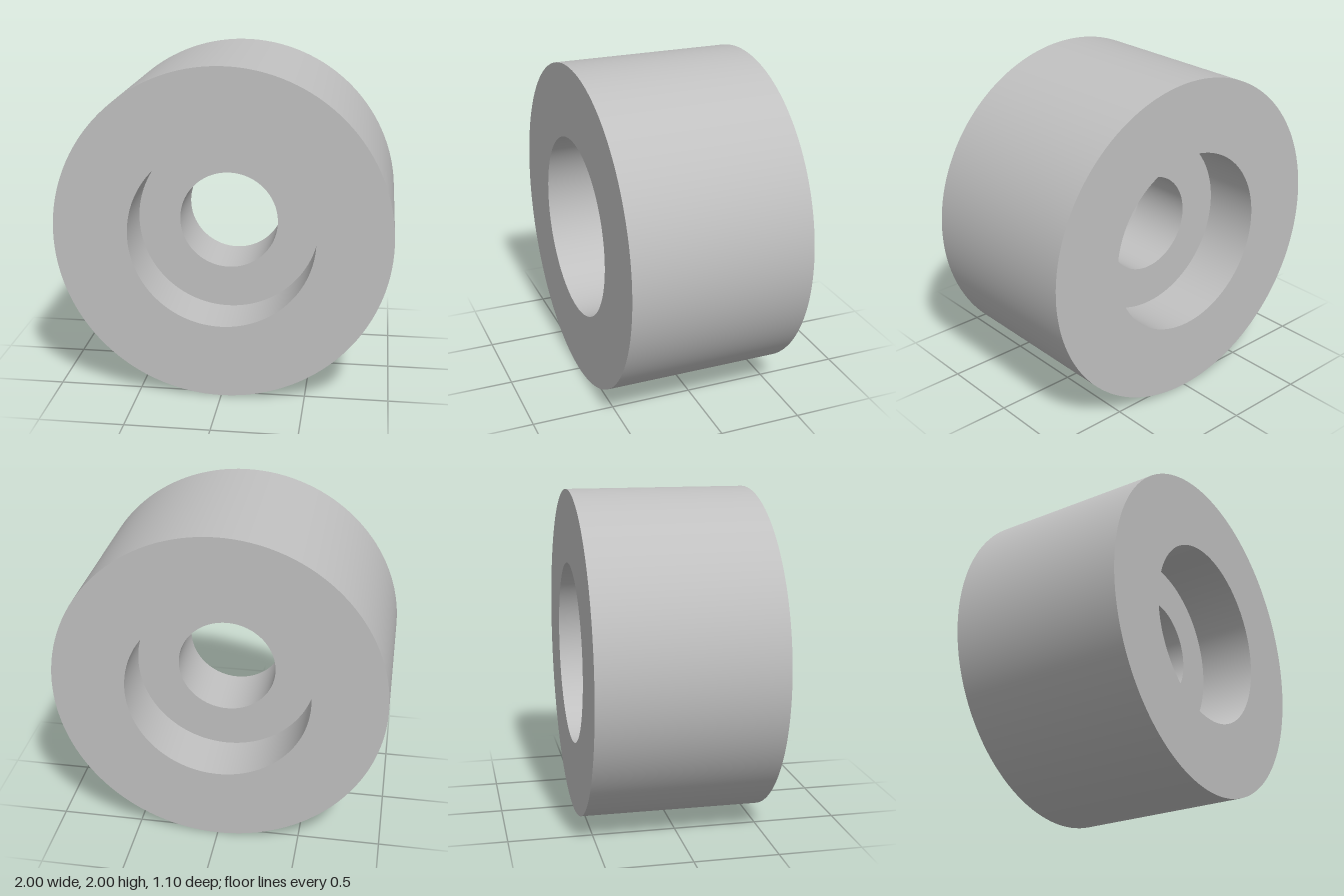
import * as THREE from 'three';
import { toCreasedNormals } from 'three/addons/utils/BufferGeometryUtils.js';

const OUTER_RADIUS = 1;
const RECESS_RADIUS = 0.555;
const BORE_RADIUS = 0.3;
const HALF_WIDTH = 0.55;
const HALF_WEB = 0.2; // half thickness of the web left between the two recesses

export function createModel() {
  const model = new THREE.Group();
  model.name = 'roller';

  const greyMetal = new THREE.MeshStandardMaterial({ color: 0xc0c0c0 });
  greyMetal.name = 'grey metal';

  // Closed section: outer wall, front face, front recess, bore, rear recess, rear face
  const section = [
    [OUTER_RADIUS, -HALF_WIDTH],
    [OUTER_RADIUS, HALF_WIDTH],
    [RECESS_RADIUS, HALF_WIDTH],
    [RECESS_RADIUS, HALF_WEB],
    [BORE_RADIUS, HALF_WEB],
    [BORE_RADIUS, -HALF_WEB],
    [RECESS_RADIUS, -HALF_WEB],
    [RECESS_RADIUS, -HALF_WIDTH],
    [OUTER_RADIUS, -HALF_WIDTH],
  ].map(([r, y]) => new THREE.Vector2(r, y));

  // Turn the section, keep its corners sharp, and lay the axis along z
  const geometry = toCreasedNormals(new THREE.LatheGeometry(section, 128), Math.PI / 6);
  geometry.rotateX(Math.PI / 2);

  const body = new THREE.Mesh(geometry, greyMetal);
  body.name = 'rollerBody';
  body.position.y = OUTER_RADIUS;
  model.add(body);

  return model;
}
